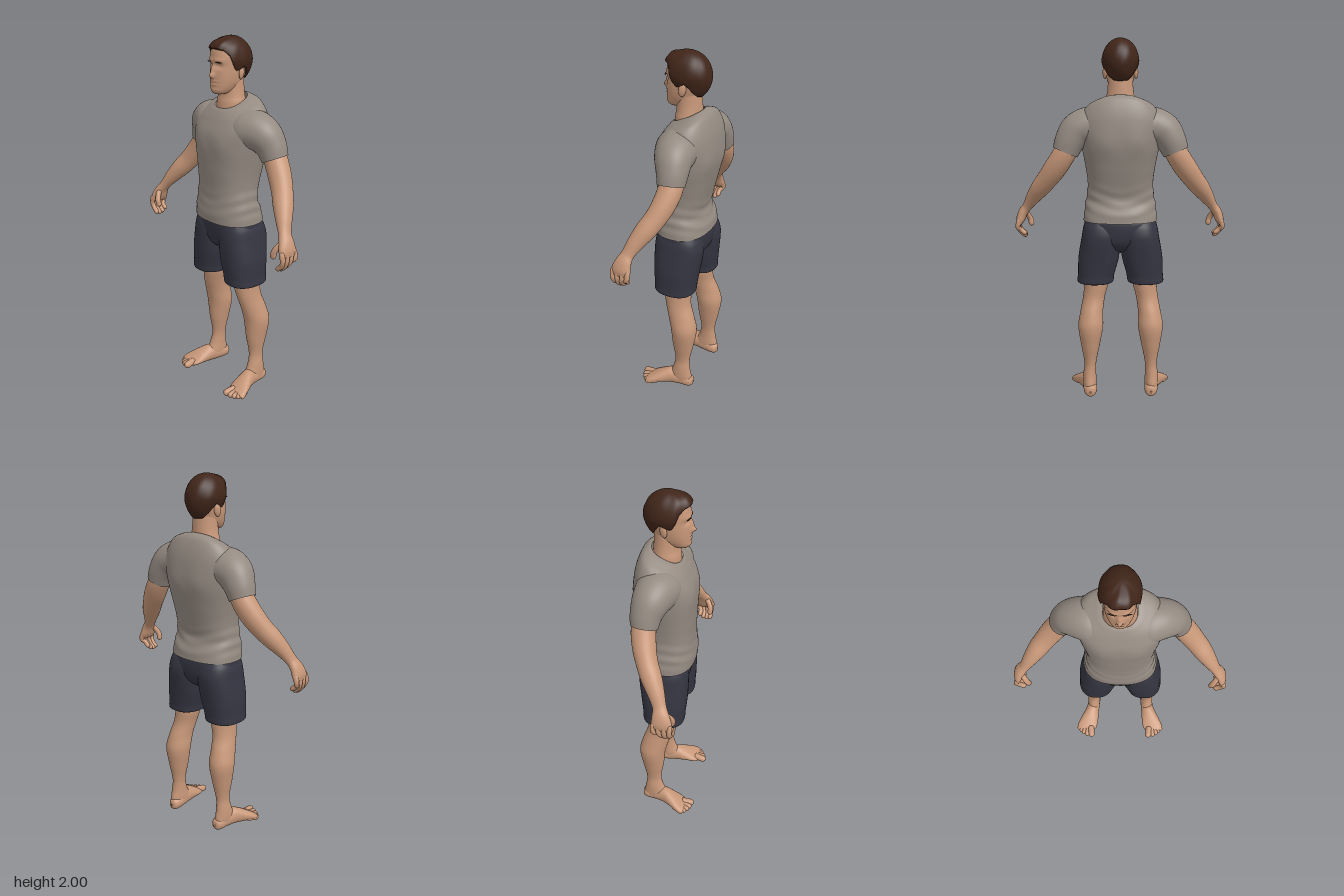
import * as THREE from 'three';

const mat = (name, color) => {
  const m = new THREE.MeshStandardMaterial({ color, side: THREE.DoubleSide });
  m.name = name;
  return m;
};
const Y = new THREE.Vector3(0, 1, 0), Z = new THREE.Vector3(0, 0, 1);
const gauss = (d, w) => Math.exp(-(d * d) / (w * w));

// Smooth curve through keys of any length, spaced by distance so close keys never overshoot.
function smoothKeys(keys, steps) {
  const n = keys.length, u = [0];
  for (let i = 1; i < n; i++) u.push(u[i - 1] + Math.hypot(...keys[i].map((v, k) => v - keys[i - 1][k])) + 1e-5);
  const slope = (i, k) => {
    const a = Math.max(0, i - 1), b = Math.min(n - 1, i + 1);
    return (keys[b][k] - keys[a][k]) / (u[b] - u[a]);
  };
  const out = [];
  for (let s = 0; s <= steps; s++) {
    const f = (s / steps) * (n - 1), i = Math.min(n - 2, Math.floor(f)), t = f - i, h = u[i + 1] - u[i];
    const t2 = t * t, t3 = t2 * t;
    out.push(keys[i].map((v, k) => (2 * t3 - 3 * t2 + 1) * v + (3 * t2 - 2 * t3) * keys[i + 1][k]
      + h * ((t3 - 2 * t2 + t) * slope(i, k) + (t3 - t2) * slope(i + 1, k))));
  }
  return out;
}

// Smooth skin through elliptical sections [x, y, z, halfWidth, halfDepth].
function loft(keys, { rings = 36, segs = 32, axis = null, ref = Z, p = 2, warp = null } = {}) {
  const path = smoothKeys(keys, rings), pos = [], idx = [];
  const centre = i => new THREE.Vector3(...path[Math.min(rings, Math.max(0, i))].slice(0, 3));
  const se = v => Math.sign(v) * Math.abs(v) ** (2 / p);
  for (let i = 0; i <= rings; i++) {
    const T = axis || centre(i + 1).sub(centre(i - 1)).normalize();
    const W = ref.clone().addScaledVector(T, -ref.dot(T)).normalize();
    const U = T.clone().cross(W);
    for (let j = 0; j < segs; j++) {
      const a = (j / segs) * Math.PI * 2;
      const v = centre(i).addScaledVector(U, se(Math.cos(a)) * Math.max(path[i][3], 0.0003))
        .addScaledVector(W, se(Math.sin(a)) * Math.max(path[i][4], 0.0003));
      if (warp) warp(v);
      pos.push(v.x, v.y, v.z);
      if (i < rings) {
        const n = (j + 1) % segs, A = i * segs + j, B = i * segs + n;
        idx.push(A, A + segs, B, B, A + segs, B + segs);
      }
    }
  }
  const g = new THREE.BufferGeometry();
  g.setAttribute('position', new THREE.Float32BufferAttribute(pos, 3));
  g.setIndex(idx);
  g.computeVertexNormals();
  return g;
}

// Upright sections given as [y, halfWidth, zFront, zBack, x].
const upright = rows => rows.map(([y, rx, zf, zb, x = 0]) => [x, y, (zf + zb) / 2, rx, (zf - zb) / 2]);

// Finger or toe, rounded at both ends.
function digit(points, r, ref = Z) {
  const P = points.map(q => new THREE.Vector3(...q)), n = P.length;
  const cap = (end, from, k, s) => {
    const d = end.clone().sub(from).normalize();
    return [...end.clone().addScaledVector(d, r * k).toArray(), r * s, r * s];
  };
  const tip = (k, s) => cap(P[n - 1], P[n - 2], k, s);
  return loft([cap(P[0], P[1], 0.6, 0.02), ...points.map(q => [...q, r, r]), tip(0.6, 0.8), tip(0.9, 0.44), tip(1, 0.02)], { rings: 24, segs: 14, ref });
}

// Hair cap with a swept quiff; its lower edge follows a hairline from brow to nape.
function hairGeometry() {
  const line = [[0, 1.03], [0.65, 1.08], [0.95, 1.28], [1.15, 1.7], [1.3, 1.92], [1.5, 1.85], [1.75, 1.72], [2.1, 2.1], [2.5, 2.4], [3.15, 2.45]];
  const edge = a => {
    const i = Math.max(1, line.findIndex(q => q[0] >= a));
    const [a0, e0] = line[i - 1], [a1, e1] = line[i];
    return THREE.MathUtils.lerp(e0, e1, (a - a0) / (a1 - a0));
  };
  const g = new THREE.SphereGeometry(1, 80, 40), P = g.attributes.position, N = 81;
  for (let i = 0; i < P.count; i++) {
    const row = Math.floor(i / N), az = ((i % N) / 80) * Math.PI * 2 - Math.PI;
    const th = Math.min(1, row / 37) * edge(Math.abs(az));
    const front = Math.max(0, Math.cos(az)), s = Math.sin(th);
    let r = 1 + s * s * (0.01 + 0.03 * front) * Math.sin(az * 8 + th * 4);
    r += 0.2 * s * front * front * gauss(th - 0.85, 0.4);
    r -= 0.03 * s * gauss(s * Math.sin(az) - 0.55, 0.1) * (0.2 + front);
    if (row > 37) r *= 1 - 0.08 * (row - 37);
    const x = 0.102 * (1 - 0.1 * THREE.MathUtils.smoothstep(th, 1.45, 2));
    P.setXYZ(i, x * r * s * Math.sin(az), 1.87 + 0.129 * Math.cos(th) * Math.min(r, 1.14), -0.015 + 0.125 * r * s * Math.cos(az));
  }
  g.computeVertexNormals();
  return g;
}

export function createModel() {
  const model = new THREE.Group();
  model.name = 'standingMan';
  const skin = mat('skin', 0xc89879), hair = mat('brownHair', 0x402519);
  const shirt = mat('greyShirt', 0x958b82), shorts = mat('navyShorts', 0x343541);
  const add = (name, geometry, material, parent = model) => {
    const m = new THREE.Mesh(geometry, material);
    m.name = name;
    parent.add(m);
    return m;
  };

  // Head with sockets, brow, nose, lips and chin
  add('head', loft(upright([
    [1.704, 0.004, 0.07, 0.06], [1.707, 0.032, 0.088, 0.02], [1.725, 0.052, 0.1, -0.03], [1.76, 0.068, 0.101, -0.07], [1.8, 0.076, 0.101, -0.09],
    [1.85, 0.08, 0.099, -0.11], [1.9, 0.082, 0.098, -0.118], [1.94, 0.072, 0.088, -0.1], [1.96, 0.05, 0.06, -0.065], [1.97, 0.02, 0.02, -0.03], [1.972, 0.002, -0.003, -0.007],
  ]), {
    rings: 80, segs: 96, axis: Y, p: 2.3, warp: v => {
      if (v.z < 0.03) return;
      const x = Math.abs(v.x), y = v.y;
      v.z -= 0.011 * gauss(x - 0.033, 0.018) * gauss(y - 1.853, 0.014);
      v.z += 0.006 * gauss(x - 0.03, 0.03) * gauss(y - 1.88, 0.012);
      v.z += gauss(v.x, 0.014) * (0.026 * gauss(y - 1.803, 0.016) + 0.015 * gauss(y - 1.835, 0.022));
      v.z += gauss(v.x, 0.025) * (0.006 * gauss(y - 1.773, 0.007) + 0.006 * gauss(y - 1.757, 0.007) - 0.004 * gauss(y - 1.765, 0.004));
      v.z += 0.005 * gauss(v.x, 0.025) * gauss(y - 1.727, 0.014);
    },
  }), skin);
  add('neck', loft(upright([
    [1.57, 0.086, 0.058, -0.1], [1.62, 0.085, 0.056, -0.098], [1.66, 0.083, 0.052, -0.094], [1.69, 0.076, 0.046, -0.09], [1.73, 0.07, 0.045, -0.088],
    [1.8, 0.066, 0.04, -0.085],
  ]), { axis: Y }), skin);
  add('hair', hairGeometry(), hair);

  // Shirt body: sloped collar, full chest, soft folds at the waist
  add('shirtBody', loft(upright([
    [1.662, 0.086, 0.057, -0.097], [1.652, 0.12, 0.074, -0.114], [1.615, 0.19, 0.1, -0.148], [1.54, 0.228, 0.124, -0.18], [1.43, 0.214, 0.14, -0.185],
    [1.31, 0.192, 0.139, -0.162], [1.21, 0.181, 0.135, -0.138], [1.13, 0.19, 0.137, -0.126], [1.06, 0.201, 0.145, -0.15], [1.01, 0.206, 0.143, -0.157],
  ]), {
    rings: 72, segs: 72, axis: Y, p: 2.4, warp: v => {
      const a = Math.atan2(v.x, v.z);
      const k = 1 + 0.018 * gauss(v.y - 1.12, 0.07) * Math.sin(v.y * 95 + 3 * Math.cos(2 * a)) * (1 - 0.6 * Math.max(0, Math.cos(a)));
      v.x *= k;
      v.z *= k;
      v.z += 0.006 * gauss(Math.abs(v.x) - 0.09, 0.06) * gauss(v.y - 1.45, 0.06) * Math.sign(v.z);
      v.y -= 0.47 * THREE.MathUtils.smoothstep(v.y, 1.47, 1.662) * (v.z + 0.015);
    },
  }), shirt);

  // Seat of the shorts, closing between the legs
  add('shortsSeat', loft(upright([
    [1.03, 0.19, 0.115, -0.135], [1, 0.2, 0.121, -0.146], [0.94, 0.2, 0.118, -0.146], [0.89, 0.15, 0.108, -0.134], [0.85, 0.08, 0.08, -0.1], [0.825, 0.01, 0.02, -0.04],
  ]), { axis: Y, p: 2.4, segs: 48 }), shorts);

  for (const s of [1, -1]) {
    const side = new THREE.Group();
    side.name = s > 0 ? 'leftSide' : 'rightSide';
    model.add(side);
    const flip = keys => keys.map(k => [k[0] * s, ...k.slice(1)]);

    // Ear and brow
    const ear = add('ear', new THREE.SphereGeometry(1, 16, 12), skin, side);
    ear.scale.set(0.011, 0.034, 0.02);
    ear.position.set(0.084 * s, 1.815, -0.02);
    ear.rotation.set(-0.15, 0.35 * s, 0);
    const brow = add('eyebrow', new THREE.SphereGeometry(1, 12, 8), hair, side);
    brow.scale.set(0.021, 0.0035, 0.004);
    brow.position.set(0.037 * s, 1.872, 0.097);
    brow.rotation.set(0, 0.3 * s, -0.06 * s);

    // Sleeve, broad at the chest so the shoulder runs on from the shirt body
    add('sleeve', loft(flip([
      [0.08, 1.525, -0.028, 0.09, 0.11], [0.14, 1.525, -0.03, 0.108, 0.12], [0.19, 1.521, -0.039, 0.108, 0.11], [0.237, 1.5, -0.051, 0.098, 0.098],
      [0.274, 1.452, -0.064, 0.083, 0.083], [0.3, 1.392, -0.069, 0.071, 0.072],
    ]), { rings: 40, segs: 40 }), shirt, side);
    add('arm', loft(flip([
      [0.26, 1.46, -0.07, 0.06, 0.06], [0.31, 1.375, -0.07, 0.062, 0.064], [0.357, 1.303, -0.055, 0.062, 0.061], [0.402, 1.242, -0.03, 0.057, 0.056],
      [0.445, 1.188, 0.002, 0.052, 0.054], [0.488, 1.13, 0.036, 0.04, 0.044], [0.525, 1.075, 0.062, 0.027, 0.036], [0.55, 1.04, 0.073, 0.027, 0.045],
      [0.566, 1, 0.08, 0.025, 0.054], [0.573, 0.972, 0.08, 0.015, 0.048], [0.574, 0.965, 0.08, 0.001, 0.01],
    ]), { rings: 60 }), skin, side);

    // Fingers and thumb
    for (let i = 0; i < 4; i++) {
      const z = 0.04 + 0.028 * i, c = 0.087 + (z - 0.08) * 0.75, drop = [0.02, 0.005, 0, 0.006][i];
      add('finger', digit(flip([[0.57, 1, z], [0.58, 0.958, z], [0.567, 0.922 + drop, c], [0.544, 0.902 + drop, c]]), 0.0132), skin, side);
    }
    add('thumb', digit(flip([[0.55, 1.05, 0.085], [0.53, 1.02, 0.112], [0.515, 0.99, 0.125], [0.51, 0.966, 0.124]]), 0.0155), skin, side);

    // Shorts leg with a turned hem
    add('shortsLeg', loft(flip(upright([
      [1.015, 0.09, 0.104, -0.122, 0.1], [0.975, 0.102, 0.116, -0.142, 0.104], [0.92, 0.108, 0.122, -0.152, 0.108], [0.8, 0.114, 0.12, -0.138, 0.122],
      [0.7, 0.103, 0.112, -0.126, 0.137], [0.663, 0.102, 0.11, -0.124, 0.141], [0.658, 0.094, 0.1, -0.114, 0.141],
    ])), { axis: Y, p: 2.4, segs: 40, rings: 42 }), shorts, side);

    // Leg
    add('leg', loft(flip(upright([
      [0.78, 0.08, 0.075, -0.1, 0.138], [0.65, 0.069, 0.062, -0.1, 0.137], [0.57, 0.062, 0.047, -0.103, 0.15], [0.49, 0.064, 0.024, -0.13, 0.163],
      [0.41, 0.07, 0.004, -0.148, 0.169], [0.3, 0.053, -0.006, -0.132, 0.171], [0.19, 0.034, -0.022, -0.11, 0.173], [0.12, 0.037, -0.008, -0.114, 0.177],
      [0.07, 0.039, 0.015, -0.124, 0.177], [0.03, 0.036, 0.02, -0.126, 0.177],
    ])), { rings: 54, axis: Y }), skin, side);

    // Foot and toes, flat on the ground
    add('foot', loft(flip([
      [0.172, 0.035, -0.135, 0.004, 0.006], [0.172, 0.036, -0.128, 0.024, 0.028], [0.173, 0.038, -0.105, 0.036, 0.038], [0.176, 0.044, -0.06, 0.039, 0.045],
      [0.187, 0.05, 0, 0.044, 0.052], [0.204, 0.04, 0.055, 0.057, 0.041], [0.219, 0.026, 0.105, 0.065, 0.026], [0.225, 0.017, 0.135, 0.054, 0.016],
      [0.225, 0.014, 0.145, 0.01, 0.004],
    ]), { axis: Z, ref: Y, rings: 48, warp: v => { v.y = Math.max(v.y, 0.002); } }), skin, side);
    [[0.191, 0.167, 0.02], [0.22, 0.163, 0.016], [0.242, 0.153, 0.015], [0.26, 0.139, 0.014], [0.275, 0.121, 0.013]].forEach(([x, z, r]) => {
      const lean = (x - 0.205) * 0.4;
      add('toe', digit(flip([[x - lean, r + 0.006, z - 0.05], [x - lean * 0.4, r + 0.004, z - 0.024], [x, r, z]]), r, Y), skin, side);
    });
  }
  return model;
}
